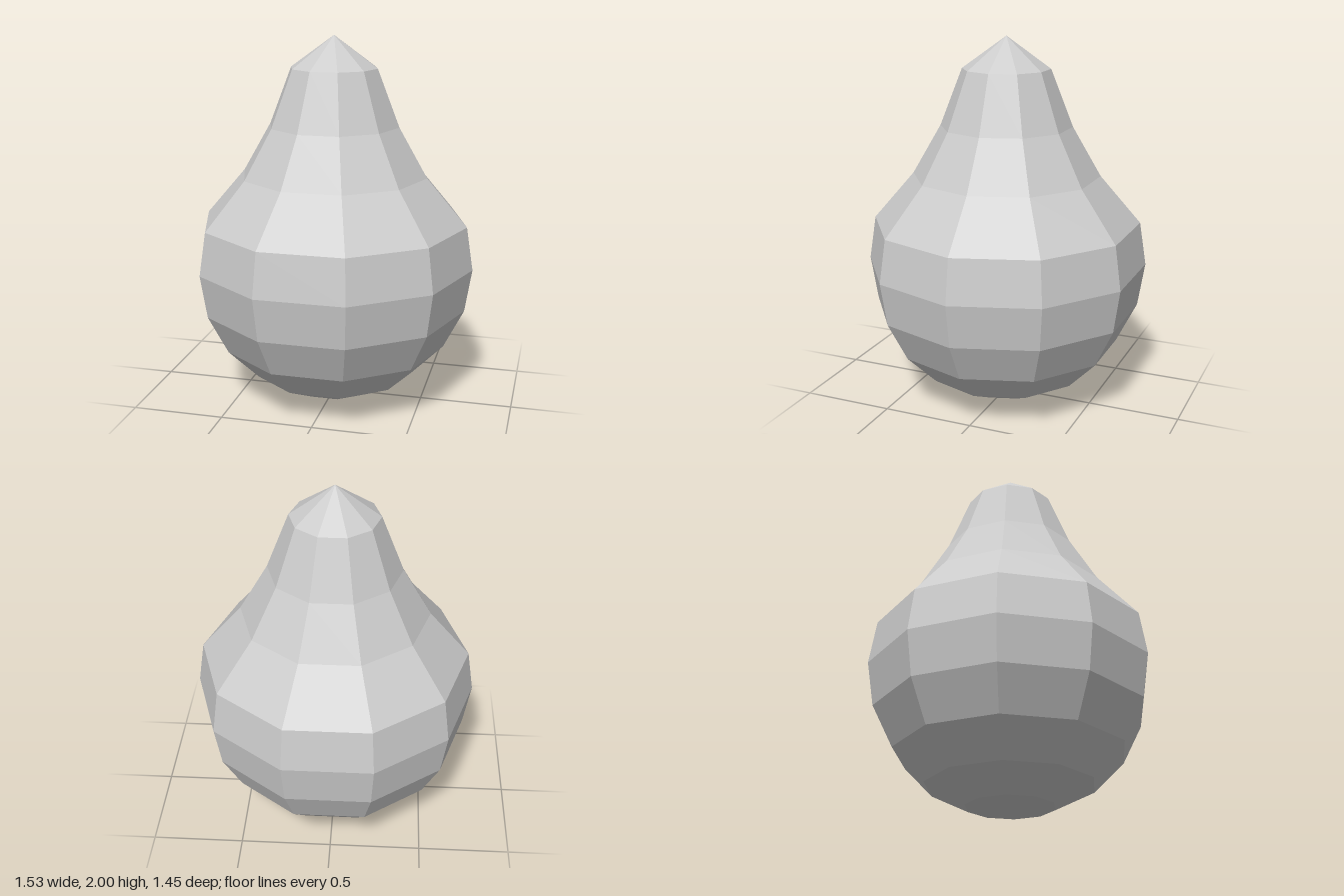
import * as THREE from 'three';

export function createModel() {
  const group = new THREE.Group();

  // Pear-shaped profile as [radius, height], from bottom to tip
  const profile = [
    [0, 0], [0.236, 0.044], [0.449, 0.15], [0.617, 0.32], [0.726, 0.535], [0.763, 0.77],
    [0.726, 1.005], [0.507, 1.26], [0.354, 1.525], [0.235, 1.83], [0, 2],
  ].map(([r, y]) => new THREE.Vector2(r, y));

  // Ten-sided faceted body with corners on the x axis
  const body = new THREE.Mesh(
    new THREE.LatheGeometry(profile, 10, Math.PI / 2),
    new THREE.MeshStandardMaterial({ color: 0xcccccc, flatShading: true })
  );
  body.name = 'pearBody';
  group.add(body);

  return group;
}
